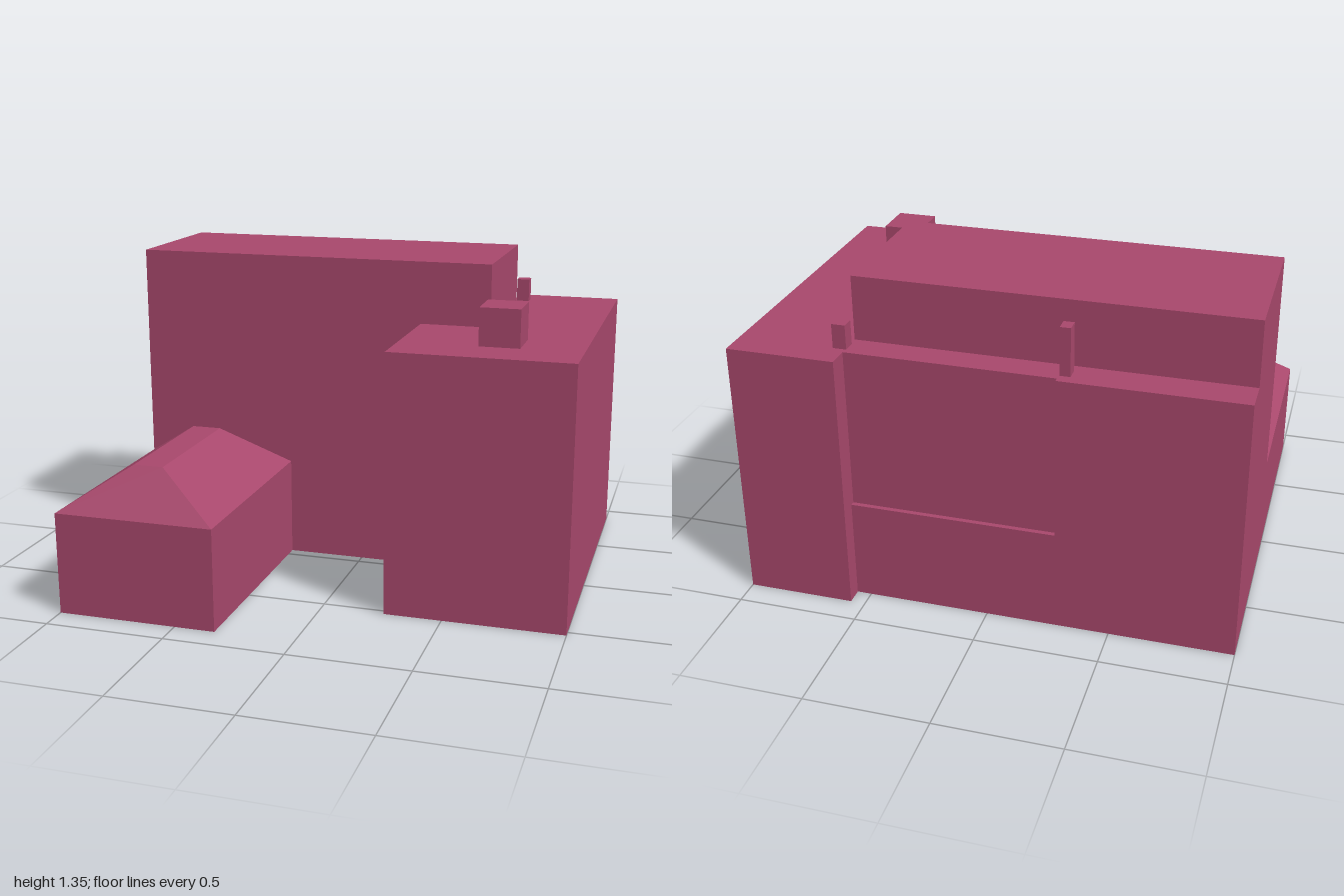
import * as THREE from 'three';

const material = new THREE.MeshStandardMaterial({ color: 0xa8486c, flatShading: true });

function add(group, name, geometry) {
  const mesh = new THREE.Mesh(geometry, material);
  mesh.name = name;
  group.add(mesh);
}

// box given by its limits on each axis
function block([x0, x1], [y0, y1], [z0, z1]) {
  return new THREE.BoxGeometry(x1 - x0, y1 - y0, z1 - z0)
    .translate((x0 + x1) / 2, (y0 + y1) / 2, (z0 + z1) / 2);
}

// footprint of [x, z] corners raised from y0 to y1
function prism(footprint, y0, y1) {
  const shape = new THREE.Shape(footprint.map(([x, z]) => new THREE.Vector2(x, -z)));
  return new THREE.ExtrudeGeometry(shape, { depth: y1 - y0, bevelEnabled: false })
    .rotateX(-Math.PI / 2).translate(0, y0, 0);
}

// hipped roof with a narrow flat ridge: a box whose top corners are drawn in
function hipRoof(xs, ys, zs, ridgeX, ridgeZ) {
  const geometry = block(xs, ys, zs);
  const p = geometry.attributes.position;
  const midX = (xs[0] + xs[1]) / 2, midY = (ys[0] + ys[1]) / 2, midZ = (zs[0] + zs[1]) / 2;
  for (let i = 0; i < p.count; i++) {
    if (p.getY(i) < midY) continue;
    p.setX(i, ridgeX[p.getX(i) > midX ? 1 : 0]);
    p.setZ(i, ridgeZ[p.getZ(i) > midZ ? 1 : 0]);
  }
  geometry.computeVertexNormals();
  return geometry;
}

export function createModel() {
  const building = new THREE.Group();
  building.name = 'building';

  // main range and side wing share one footprint; the upper rear wall is set back
  const sides = [[0.56, -0.89], [1, -0.89], [1, 0.53], [0.26, 0.53], [0.26, -0.05], [-1, -0.05], [-1, -0.82]];
  const roofY = 1.085, ledgeY = 0.42;
  add(building, 'lowerStoreys', prism([...sides, [0.56, -0.82]], 0, ledgeY));
  add(building, 'upperStoreys',
    prism([...sides, [-0.28, -0.82], [-0.28, -0.8], [0.56, -0.8]], ledgeY, roofY));
  add(building, 'topStorey', block([-1, 0.56], [roofY, 1.35], [-0.68, -0.05]));

  // rooftop room and chimneys
  add(building, 'rooftopRoom', block([0.585, 0.75], [roofY, 1.24], [0.15, 0.33]));
  add(building, 'shortChimney', block([0.555, 0.61], [roofY, 1.185], [-0.775, -0.72]));
  add(building, 'tallChimney', block([-0.325, -0.283], [roofY, 1.28], [-0.775, -0.72]));

  // low front annex
  const annexX = [-1, -0.33], annexZ = [-0.05, 0.885];
  add(building, 'annexWalls', block(annexX, [0, 0.425], annexZ));
  add(building, 'annexRoof', hipRoof(annexX, [0.425, 0.603], annexZ, [-0.725, -0.6], [0.12, 0.72]));

  return building;
}
